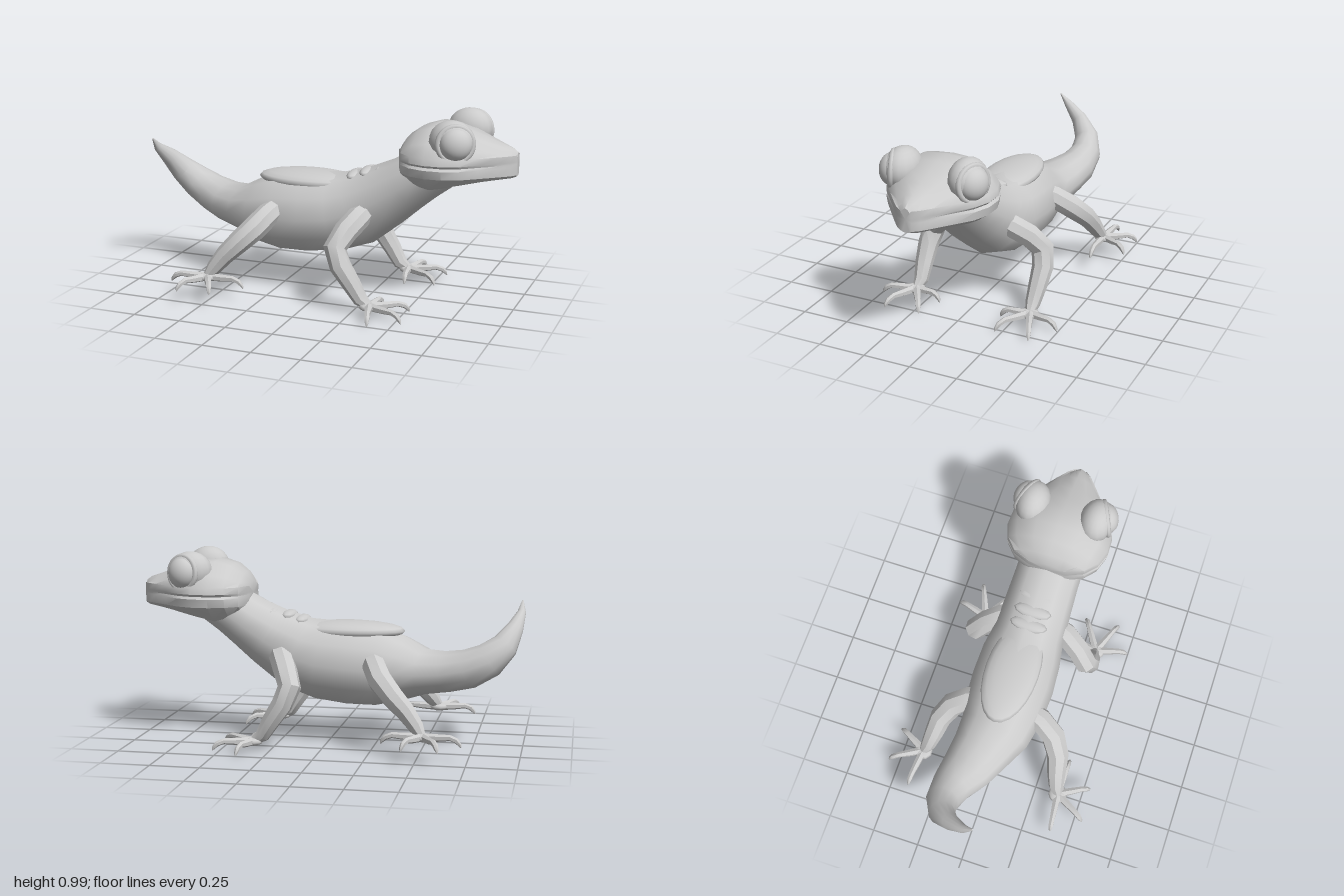
import * as THREE from 'three';
import { toCreasedNormals } from 'three/addons/utils/BufferGeometryUtils.js';

const material = new THREE.MeshStandardMaterial({ color: 0xcccccc });

function add(parent, name, geometry, position = [0, 0, 0], scale = [1, 1, 1]) {
  const mesh = new THREE.Mesh(geometry, material);
  mesh.name = name;
  mesh.position.set(...position);
  mesh.scale.set(...scale);
  parent.add(mesh);
  return mesh;
}

// Joins equal rings of points into a closed skin with capped ends
function skin(rings, crease = 0.7) {
  const n = rings[0].length, last = (rings.length - 1) * n;
  const points = rings.flat();
  const index = [];
  for (let i = 0; i < rings.length - 1; i++) {
    for (let j = 0; j < n; j++) {
      const a = i * n + j, b = i * n + (j + 1) % n;
      index.push(a, b, a + n, b, b + n, a + n);
    }
  }
  const middle = (ring) => ring.reduce((s, p) => s.add(p), new THREE.Vector3()).divideScalar(n);
  const start = points.length, end = start + 1;
  points.push(middle(rings[0]), middle(rings[rings.length - 1]));
  for (let j = 0; j < n; j++) {
    const k = (j + 1) % n;
    index.push(start, k, j, end, last + j, last + k);
  }
  const geometry = new THREE.BufferGeometry().setFromPoints(points);
  geometry.setIndex(index);
  return toCreasedNormals(geometry, crease);
}

// Sweeps an ellipse along sections [x, y, z, halfHeight, halfWidth]
function loft(sections, sides, upright = false, crease = 0.7) {
  const centres = sections.map((s) => new THREE.Vector3(s[0], s[1], s[2]));
  const worldUp = new THREE.Vector3(0, 1, 0);
  let side = null;
  const rings = sections.map((s, i) => {
    const t = centres[Math.min(i + 1, centres.length - 1)].clone()
      .sub(centres[Math.max(i - 1, 0)]).normalize();
    side = upright || !side ? t.clone().cross(worldUp) : side.clone().addScaledVector(t, -side.dot(t));
    side.normalize();
    const up = side.clone().cross(t);
    return Array.from({ length: sides }, (_, j) => {
      const a = (j / sides) * Math.PI * 2;
      return centres[i].clone()
        .addScaledVector(up, Math.cos(a) * s[3])
        .addScaledVector(side, Math.sin(a) * (s[4] ?? s[3]));
    });
  });
  return skin(rings, crease);
}

// Head cross-section: crown, cheek, grooved lips, jaw and throat
function headRing([x, top, w, bottom]) {
  const m = 0.765, mix = THREE.MathUtils.lerp;
  const half = [
    [0, top], [0.42, top - 0.008], [0.8, mix(top, m, 0.4)], [0.98, m + 0.045],
    [1, m + 0.012], [0.955, m], [1, m - 0.012], [0.97, m - 0.055],
    [0.62, mix(m - 0.055, bottom, 0.65)], [0, bottom],
  ];
  const right = half.slice(1, -1).reverse().map(([z, y]) => [-z, y]);
  return [...half, ...right].map(([z, y]) => new THREE.Vector3(x, y, z * w));
}

function buildLeg(parent, name, path, toes, s) {
  const leg = new THREE.Group();
  leg.name = name;
  parent.add(leg);
  const flip = ([x, y, z, ...r]) => [x, y, z * s, ...r];
  add(leg, 'limb', loft(path.map(flip), 8));
  const [px, py, pz] = flip(path[path.length - 1]);
  add(leg, 'palm', new THREE.SphereGeometry(1, 10, 6), [px, py, pz], [0.05, 0.022, 0.05]);
  // Toes arch outward and hook down into claws
  for (const [tx, tz] of toes) {
    const at = (k, dy, r) => [px + (tx - px) * k, py + dy, pz + (tz * s - pz) * k, r];
    add(leg, 'toe', loft([
      at(0, 0, 0.022), at(0.4, 0.002, 0.019), at(0.72, 0.006, 0.015),
      at(0.88, -0.006, 0.014), at(0.97, -0.026, 0.009), at(1, -0.04, 0.002),
    ], 6));
  }
}

export function createModel() {
  const model = new THREE.Group();
  model.name = 'lizard';

  // Tail, torso and neck in one sweep
  add(model, 'body', loft([
    [-0.98, 0.745, 0.08, 0.004, 0.004], [-0.978, 0.69, 0.03, 0.024, 0.022],
    [-0.95, 0.62, -0.05, 0.048, 0.042], [-0.905, 0.54, -0.115, 0.07, 0.066],
    [-0.83, 0.47, -0.142, 0.09, 0.085], [-0.73, 0.42, -0.13, 0.1, 0.105],
    [-0.62, 0.395, -0.09, 0.105, 0.135], [-0.5, 0.385, -0.055, 0.118, 0.158],
    [-0.38, 0.39, -0.02, 0.17, 0.188], [-0.25, 0.4, -0.012, 0.21, 0.21],
    [-0.1, 0.41, -0.012, 0.218, 0.218], [0.05, 0.425, -0.015, 0.212, 0.21],
    [0.17, 0.457, -0.012, 0.198, 0.188], [0.32, 0.54, -0.008, 0.165, 0.178],
    [0.43, 0.61, -0.004, 0.143, 0.172], [0.52, 0.67, 0, 0.132, 0.17],
    [0.63, 0.735, 0, 0.12, 0.165],
  ], 12, true));

  // Raised saddle and skin folds along the back
  add(model, 'backSaddle', new THREE.SphereGeometry(1, 24, 10), [-0.1, 0.585, -0.015], [0.29, 0.05, 0.14]);
  [[0.15, 0.632], [0.22, 0.655], [0.3, 0.672]].forEach(([x, y]) => {
    add(model, 'neckFold', new THREE.SphereGeometry(1, 12, 8), [x, y, -0.01], [0.04, 0.025, 0.1]);
  });

  // Head sections [x, top, half width, bottom]
  add(model, 'head', skin([
    [0.415, 0.83, 0.1, 0.69], [0.45, 0.875, 0.19, 0.65], [0.51, 0.918, 0.245, 0.61],
    [0.59, 0.942, 0.272, 0.59], [0.68, 0.935, 0.268, 0.62], [0.76, 0.912, 0.235, 0.645],
    [0.84, 0.885, 0.17, 0.665], [0.92, 0.857, 0.105, 0.68], [0.97, 0.84, 0.062, 0.688],
    [0.995, 0.822, 0.03, 0.7],
  ].map(headRing)));

  for (const s of [1, -1]) {
    const label = s > 0 ? 'left' : 'right';

    // Brow bump with a rimmed, bulging eye
    add(model, label + 'Brow', new THREE.SphereGeometry(1, 16, 12), [0.705, 0.885, s * 0.17], [0.115, 0.105, 0.09]);
    const eye = new THREE.Group();
    eye.name = label + 'Eye';
    eye.position.set(0.735, 0.882, s * 0.212);
    eye.lookAt(0.735 + 0.4, 0.882 + 0.08, s * (0.212 + 0.9));
    model.add(eye);
    add(eye, 'eyelidRim', new THREE.TorusGeometry(0.085, 0.015, 8, 28));
    add(eye, 'eyeball', new THREE.SphereGeometry(0.08, 24, 16), [0, 0, 0], [1, 1, 0.8]);

    buildLeg(model, label + 'FrontLeg', [
      [0.25, 0.48, 0.11, 0.05], [0.23, 0.455, 0.17, 0.062], [0.19, 0.4, 0.25, 0.062],
      [0.155, 0.325, 0.31, 0.06], [0.19, 0.24, 0.328, 0.055], [0.25, 0.15, 0.325, 0.047],
      [0.295, 0.075, 0.32, 0.038], [0.34, 0.045, 0.325, 0.022],
    ], [[0.39, 0.495], [0.535, 0.405], [0.52, 0.215], [0.365, 0.175]], s);

    buildLeg(model, label + 'BackLeg', [
      [-0.23, 0.46, 0.1, 0.05], [-0.255, 0.43, 0.19, 0.062], [-0.3, 0.37, 0.275, 0.064],
      [-0.37, 0.3, 0.325, 0.058], [-0.44, 0.23, 0.342, 0.05], [-0.495, 0.16, 0.36, 0.04],
      [-0.525, 0.115, 0.38, 0.024],
    ], [[-0.62, 0.545], [-0.44, 0.535], [-0.72, 0.4], [-0.32, 0.385]], s);
  }
  return model;
}
